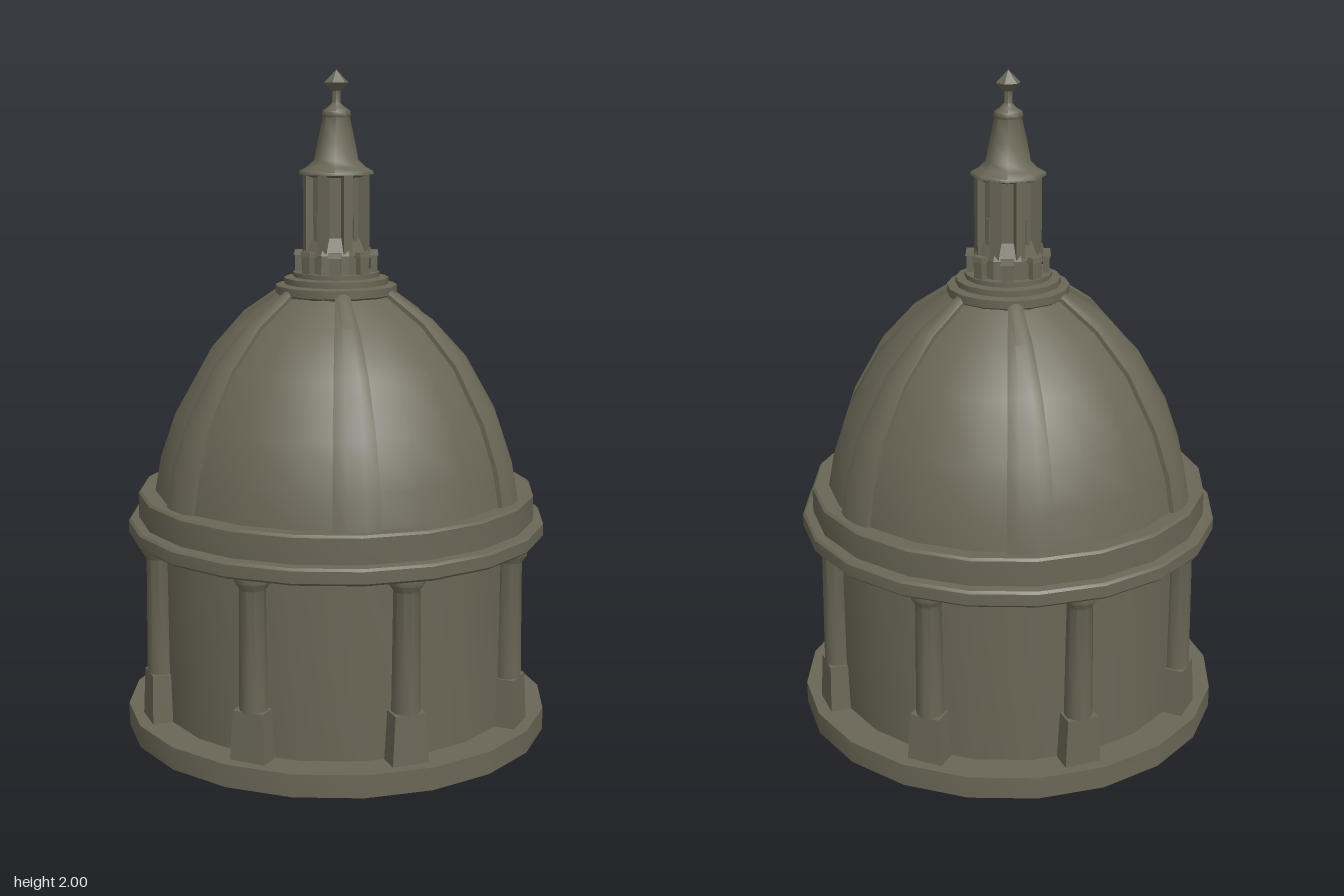
import * as THREE from 'three';
import { toCreasedNormals } from 'three/addons/utils/BufferGeometryUtils.js';

const SIDES = 20;

export function createModel() {
  const root = new THREE.Group();
  root.name = 'domedRotunda';
  const stone = new THREE.MeshStandardMaterial({ color: 0x6a6656, side: THREE.DoubleSide });
  stone.name = 'weatheredStone';

  const add = (name, geo, parent = root, crease = 0.6) => {
    const mesh = new THREE.Mesh(toCreasedNormals(geo, crease), stone);
    mesh.name = name;
    parent.add(mesh);
    return mesh;
  };
  const lathe = (pts, sides = SIDES, start = 0, length = Math.PI * 2) =>
    new THREE.LatheGeometry(pts.map(p => new THREE.Vector2(p[0], p[1])), sides, start, length);

  // Places count copies of a part around the axis, each facing outward
  const ring = (name, count, offset, radius, build) => {
    for (let i = 0; i < count; i++) {
      const pivot = new THREE.Group();
      pivot.name = name + (i + 1);
      pivot.rotation.y = offset + (i * Math.PI * 2) / count;
      const part = new THREE.Group();
      part.name = name + 'Body';
      part.position.z = radius;
      build(part);
      pivot.add(part);
      root.add(pivot);
    }
  };
  // Box tapering from bottom size to top size
  const frustum = (w0, d0, w1, d1, y0, y1) => {
    const g = new THREE.BoxGeometry(1, y1 - y0, 1);
    g.translate(0, (y0 + y1) / 2, 0);
    const p = g.attributes.position, mid = (y0 + y1) / 2;
    for (let i = 0; i < p.count; i++) {
      const top = p.getY(i) > mid;
      p.setX(i, p.getX(i) * (top ? w1 : w0));
      p.setZ(i, p.getZ(i) * (top ? d1 : d0));
    }
    return g;
  };

  // Base ring, open drum wall and cornice
  add('baseRing', lathe([[0.56, 0], [0.648, 0], [0.648, 0.068], [0.545, 0.068], [0.56, 0]]));
  add('drumWall', lathe([[0.55, 0.05], [0.55, 0.62]]));
  add('cornice', lathe([
    [0.535, 0.61], [0.63, 0.61], [0.637, 0.617], [0.637, 0.652], [0.63, 0.659], [0.605, 0.662],
    [0.605, 0.738], [0.598, 0.745], [0.535, 0.745], [0.535, 0.61]]));

  // Eight engaged columns around the drum
  ring('column', 8, Math.PI / 8, 0.565, part => {
    add('pedestal', frustum(0.112, 0.085, 0.094, 0.075, 0.06, 0.215), part);
    add('shaft', lathe([[0.042, 0.21], [0.038, 0.57], [0.053, 0.592], [0.053, 0.612]], 10), part, 0.8);
  });

  // Dome shell
  const profile = [[0.555, 0.74], [0.535, 0.85], [0.49, 0.98], [0.4, 1.14], [0.295, 1.255], [0.17, 1.34]];
  add('domeShell', lathe(profile));

  // Six wedge ribs, raised from the shell with rounded shoulders
  const width = THREE.MathUtils.degToRad(14);
  const across = [[0, -0.02], [0, 0.012], [0.3, 0.02], [0.7, 0.02], [1, 0.012], [1, -0.02]];
  for (let k = 0; k < 6; k++) {
    const geo = lathe(profile, 5);
    const p = geo.attributes.position;
    for (let i = 0; i < p.count; i++) {
      const [u, lift] = across[Math.floor(i / profile.length)];
      const [r, y] = profile[i % profile.length];
      const phi = (k * Math.PI) / 3 + (u - 1) * width;
      const len = Math.hypot(r, y - 0.74);
      const rr = r + (lift * r) / len;
      p.setXYZ(i, rr * Math.sin(phi), y + (lift * (y - 0.74)) / len, rr * Math.cos(phi));
    }
    add('domeRib' + (k + 1), geo);
  }

  // Stepped collar under the lantern
  add('lanternCollar', lathe([
    [0.16, 1.325], [0.183, 1.342], [0.183, 1.366], [0.157, 1.37], [0.157, 1.388],
    [0.13, 1.391], [0.13, 1.405], [0, 1.405]], 16));

  // Octagonal lantern core with its plinth
  const octagon = (r0, r1, y0, y1) => {
    const g = new THREE.CylinderGeometry(r1, r0, y1 - y0, 8, 1);
    g.rotateY(Math.PI / 8);
    g.translate(0, (y0 + y1) / 2, 0);
    return g;
  };
  add('lanternPlinth', octagon(0.108, 0.105, 1.4, 1.46));
  add('lanternSkirt', octagon(0.108, 0.086, 1.46, 1.51));
  add('lanternCore', octagon(0.084, 0.084, 1.5, 1.7));
  ring('lanternPilaster', 8, Math.PI / 8, 0.088, part => {
    add('pilaster', frustum(0.028, 0.026, 0.028, 0.026, 1.46, 1.695), part);
  });
  ring('lanternPedestal', 8, 0, 0.113, part => {
    add('post', frustum(0.034, 0.02, 0.034, 0.02, 1.4, 1.458), part);
    add('postCap', frustum(0.042, 0.028, 0.038, 0.022, 1.455, 1.47), part);
  });
  // Narrow raised window frames on four sides
  ring('lanternWindow', 4, 0, 0.08, part => {
    add('windowPanel', frustum(0.015, 0.008, 0.015, 0.008, 1.5, 1.578), part);
  });

  // Lantern roof, spire and finial
  add('lanternRoof', lathe([
    [0, 1.688], [0.092, 1.688], [0.112, 1.695], [0.11, 1.704], [0.085, 1.718], [0.066, 1.737],
    [0.055, 1.795], [0.04, 1.862], [0.043, 1.868], [0.041, 1.881], [0.024, 1.892], [0.012, 1.905], [0.012, 1.94]], 8), root, 0.9);
  const finial = new THREE.SphereGeometry(0.037, 6, 2);
  finial.translate(0, 1.963, 0);
  add('finial', finial, root, 0.3);

  return root;
}
